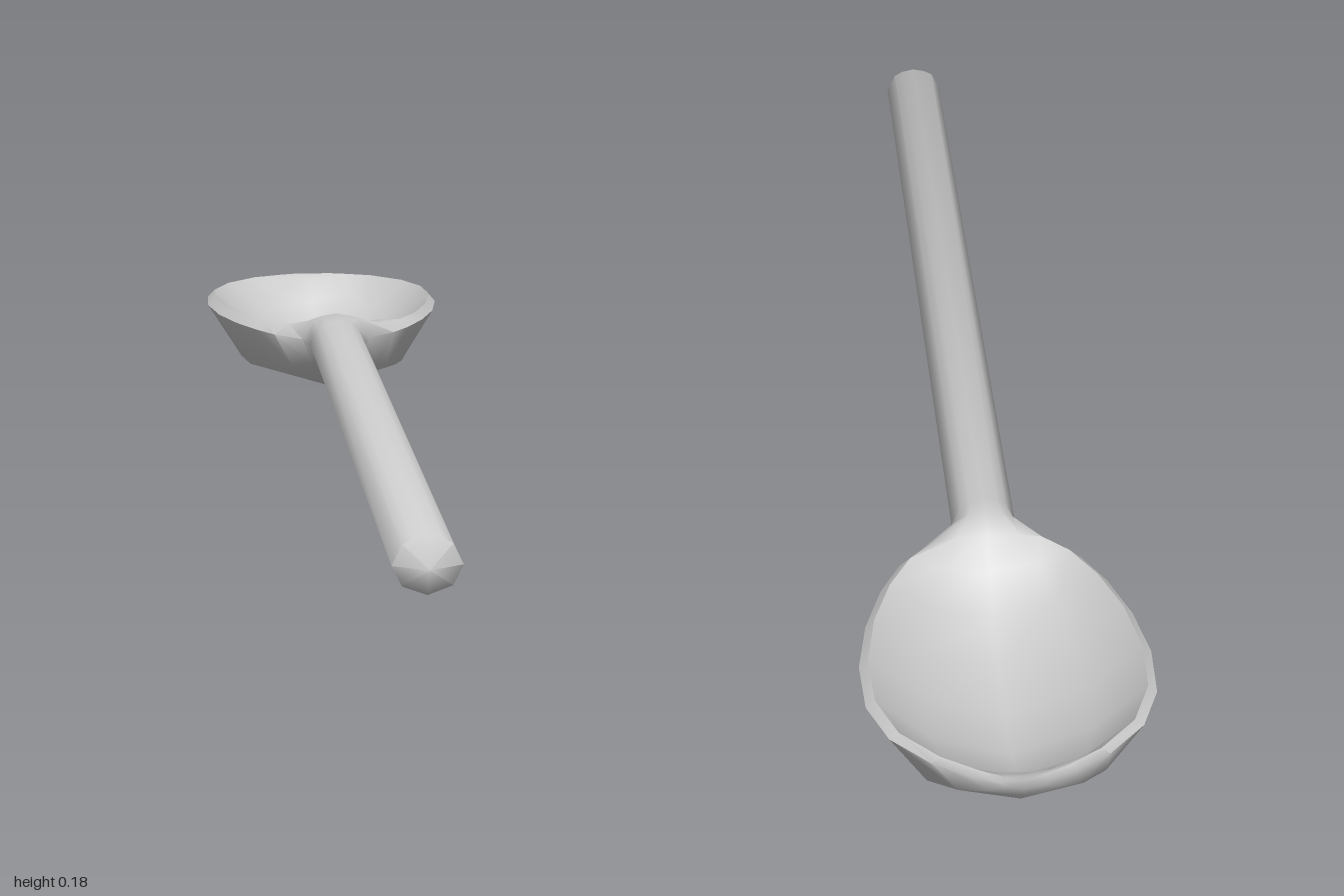
import * as THREE from 'three';
import { toCreasedNormals } from 'three/addons/utils/BufferGeometryUtils.js';

// Cross-sections from handle end to bowl tip:
// [z, half width, bottom y, side y, inner rim half width, rim y, centre top y]
const SECTIONS = [
  [0.975, 0.048, 0.096, 0.137, 0.034, 0.166, 0.178],
  [-0.40, 0.048, 0.096, 0.137, 0.034, 0.166, 0.178],
  [-0.44, 0.058, 0.078, 0.138, 0.040, 0.172, 0.183],
  [-0.475, 0.105, 0.060, 0.140, 0.080, 0.158, 0.165],
  [-0.51, 0.135, 0.044, 0.142, 0.118, 0.156, 0.125],
  [-0.57, 0.166, 0.024, 0.142, 0.152, 0.155, 0.082],
  [-0.65, 0.193, 0.008, 0.141, 0.180, 0.154, 0.052],
  [-0.74, 0.208, 0.001, 0.140, 0.195, 0.152, 0.037],
  [-0.83, 0.204, 0.006, 0.139, 0.191, 0.151, 0.040],
  [-0.90, 0.176, 0.027, 0.138, 0.163, 0.149, 0.060],
  [-0.955, 0.122, 0.066, 0.137, 0.110, 0.148, 0.098],
  [-0.985, 0.072, 0.098, 0.136, 0.060, 0.146, 0.138],
  [-1.0, 0.036, 0.122, 0.136, 0.028, 0.145, 0.144],
];

// Closed loop: underside, rim and hollow, counter-clockwise seen from the front
function sectionLoop([z, w, bottom, side, wi, rim, top]) {
  const half = [
    [0.71 * w, bottom + 0.31 * (side - bottom)],
    [w, side],
    [wi, rim],
    [0.6 * wi, top + 0.36 * (rim - top)],
  ];
  const mirrored = half.map(([x, y]) => [-x, y]).reverse();
  return [[0, bottom], ...half, [0, top], ...mirrored].map(([x, y]) => [x - 0.003, y, z]);
}

// Skin the loops and close both ends
function loft(loops, startTip, endTip) {
  const n = loops[0].length;
  const positions = [...loops.flat(2), ...startTip, ...endTip];
  const index = [];
  const start = loops.length * n;
  const last = (loops.length - 1) * n;
  for (let j = 0; j < n; j++) {
    const k = (j + 1) % n;
    for (let i = 0; i < loops.length - 1; i++) {
      const a = i * n + j, b = i * n + k, c = a + n, d = b + n;
      index.push(a, c, b, b, c, d);
    }
    index.push(start, j, k, start + 1, last + k, last + j);
  }
  const geometry = new THREE.BufferGeometry();
  geometry.setAttribute('position', new THREE.Float32BufferAttribute(positions, 3));
  geometry.setIndex(index);
  return toCreasedNormals(geometry, 1.1);
}

export function createModel() {
  const group = new THREE.Group();
  group.name = 'spoon';
  const material = new THREE.MeshStandardMaterial({ color: 0xcccccc });

  // Handle and bowl are one continuous carved piece
  const geometry = loft(SECTIONS.map(sectionLoop), [-0.003, 0.137, 1], [-0.003, 0.137, -1]);
  const spoon = new THREE.Mesh(geometry, material);
  spoon.name = 'handleAndBowl';
  group.add(spoon);
  return group;
}
